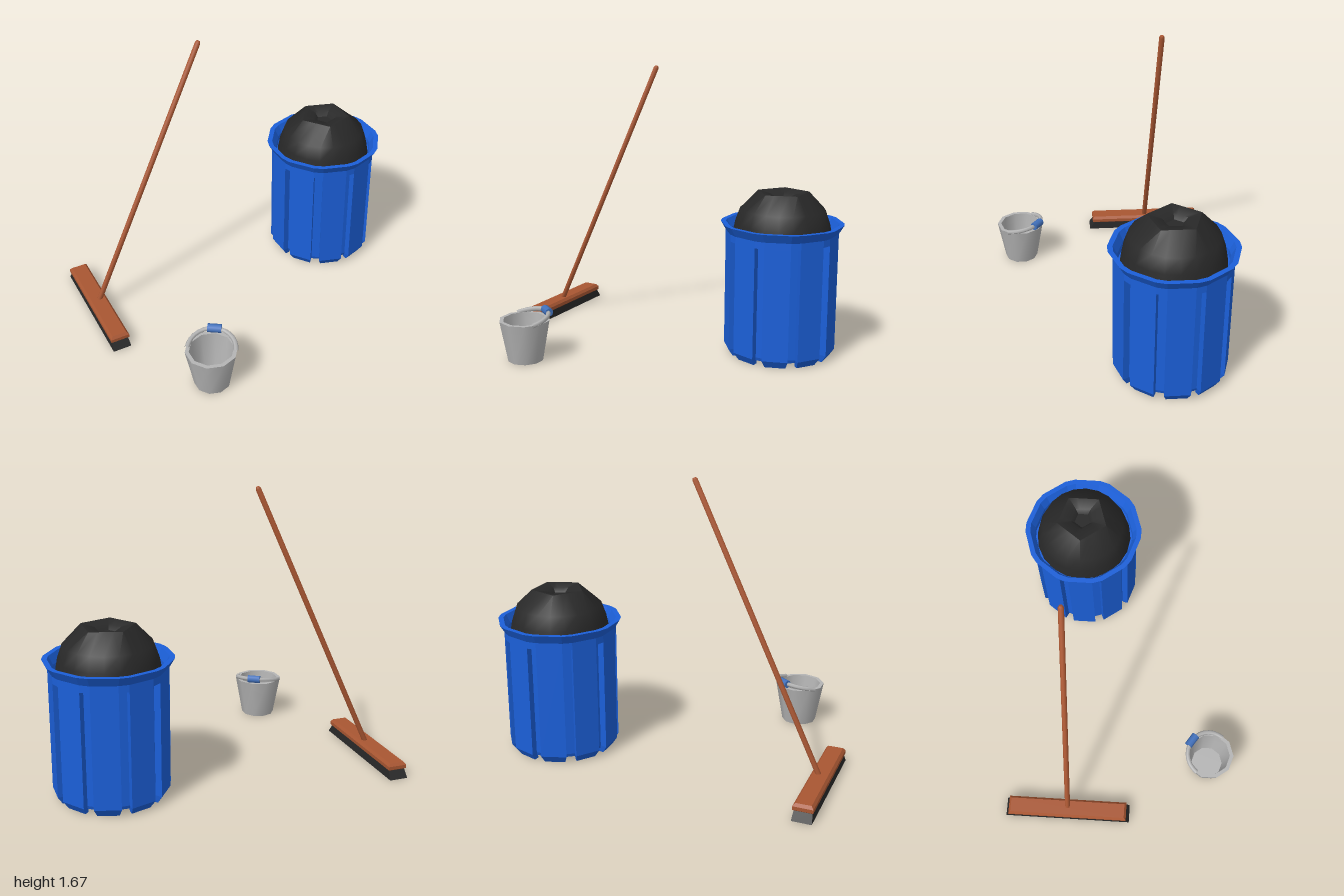
import * as THREE from 'three';
import { toCreasedNormals } from 'three/addons/utils/BufferGeometryUtils.js';

const mat = (name, color) => new THREE.MeshStandardMaterial({ name, color });

// Skin a stack of equal-length rings (counter-clockwise from above), with optional end caps.
function loft(rings, { bottom = false, top = false, crease = 0.1 } = {}) {
  const n = rings[0].length;
  const pos = rings.flat(2);
  const idx = [];
  for (let i = 0; i < rings.length - 1; i++) {
    for (let j = 0; j < n; j++) {
      const k = (j + 1) % n;
      const a = i * n + j, b = i * n + k, c = b + n, d = a + n;
      idx.push(a, b, c, a, c, d);
    }
  }
  const last = (rings.length - 1) * n;
  for (let j = 1; j < n - 1; j++) {
    if (bottom) idx.push(0, j + 1, j);
    if (top) idx.push(last, last + j, last + j + 1);
  }
  const g = new THREE.BufferGeometry();
  g.setAttribute('position', new THREE.Float32BufferAttribute(pos, 3));
  g.setIndex(idx);
  return toCreasedNormals(g, crease);
}

const polar = (r, y, a) => [r * Math.sin(a), y, r * Math.cos(a)];
const rect = (x, z, y) => [[-x, y, z], [x, y, z], [x, y, -z], [-x, y, -z]];
const deg = Math.PI / 180;

function addMesh(group, name, geometry, material) {
  const m = new THREE.Mesh(geometry, material);
  m.name = name;
  group.add(m);
  return m;
}

function makeBin(plastic, lidMat) {
  const bin = new THREE.Group();
  bin.name = 'bin';

  // Core with groove backs, collar, flared rim, inner wall and the ledge under the lid
  const angles = [];
  for (let i = 0; i < 10; i++) angles.push((i * 36 - 5) * deg, (i * 36 + 5) * deg);
  const profile = [[0.28, 0.025], [0.287, 0.045], [0.287, 0.7], [0.328, 0.7], [0.328, 0.74],
    [0.358, 0.79], [0.328, 0.79], [0.303, 0.74], [0.3, 0.71], [0.265, 0.71]];
  addMesh(bin, 'binBody', loft(profile.map(([r, y]) => angles.map(a => polar(r, y, a))), { bottom: true }), plastic);

  // Ten raised panels that end in chamfered feet
  const levels = [[0.297, 0.265, 0, 11.5], [0.328, 0.28, 0.045, 13], [0.328, 0.28, 0.7, 13]];
  const panel = loft(levels.map(([ro, ri, y, h]) => [
    polar(ro, y, -h * deg), polar(ro, y, h * deg), polar(ri, y, h * deg), polar(ri, y, -h * deg),
  ]), { bottom: true });
  for (let i = 0; i < 10; i++) {
    addMesh(bin, 'binPanel', panel, plastic).rotation.y = (18 + i * 36) * deg;
  }

  // Domed lid: round at the base, pentagonal at the top with a small hollow
  const polyRing = (R, y, n) => Array.from({ length: 20 }, (_, j) => {
    const step = 2 * Math.PI / n, t = (j * 18 * deg + 1e-6) % step;
    return polar(R * Math.cos(step / 2) / Math.cos(t - step / 2), y, j * 18 * deg - Math.PI / 2);
  });
  addMesh(bin, 'lid', loft([
    polyRing(0.292, 0.7, 20), polyRing(0.275, 0.79, 20), polyRing(0.247, 0.87, 20),
    polyRing(0.155, 0.967, 5), polyRing(0.075, 0.952, 5), polyRing(0.05, 0.927, 5),
  ], { top: true, crease: 0.8 }), lidMat);
  return bin;
}

function makeBroom(wood, bristleMat) {
  const broom = new THREE.Group();
  broom.name = 'broom';
  addMesh(broom, 'bristles', loft([rect(0.055, 0.39, 0), rect(0.05, 0.355, 0.052)], { bottom: true, top: true }), bristleMat);
  addMesh(broom, 'broomHead', loft([
    rect(0.05, 0.362, 0.048), rect(0.056, 0.37, 0.054), rect(0.056, 0.37, 0.074),
    rect(0.043, 0.357, 0.09),
  ], { bottom: true, top: true }), wood);

  // Leaning stick with a rounded tip
  const dir = new THREE.Vector3(0.742, 1.595, 0);
  const len = dir.length();
  const ring = (r, y) => Array.from({ length: 8 }, (_, j) => polar(r, y, j * 45 * deg));
  const stick = addMesh(broom, 'broomStick', loft([
    ring(0.016, 0), ring(0.016, len - 0.012), ring(0.009, len),
  ], { bottom: true, top: true, crease: 0.9 }), wood);
  stick.position.set(0.005, 0.07, 0);
  stick.quaternion.setFromUnitVectors(new THREE.Vector3(0, 1, 0), dir.normalize());
  return broom;
}

function makeBucket(metal, gripMat) {
  const bucket = new THREE.Group();
  bucket.name = 'bucket';
  const profile = [[0.105, 0], [0.15, 0.245], [0.127, 0.245], [0.098, 0.015]];
  addMesh(bucket, 'pail', loft(
    profile.map(([r, y]) => Array.from({ length: 10 }, (_, j) => polar(r, y, j * 36 * deg))),
    { bottom: true, top: true, crease: 0.7 }), metal);

  // Folded carrying handle: a half loop resting just above the rim
  const bail = new THREE.Group();
  bail.name = 'bail';
  bail.rotation.y = -34 * deg;
  const pts = [];
  for (let i = 0; i <= 8; i++) {
    const a = i * Math.PI / 8;
    pts.push(new THREE.Vector3(0.138 * Math.cos(a), 0.243 + 0.032 * Math.sin(a), -0.137 * Math.sin(a)));
  }
  addMesh(bail, 'bailWire', new THREE.TubeGeometry(new THREE.CatmullRomCurve3(pts), 14, 0.014, 6), metal);
  const grip = addMesh(bail, 'grip', new THREE.CylinderGeometry(0.025, 0.025, 0.08, 8), gripMat);
  grip.rotation.z = Math.PI / 2;
  grip.position.set(0, 0.275, -0.137);
  bucket.add(bail);
  return bucket;
}

export function createModel() {
  const blue = mat('bin blue', 0x1b5fd8);
  const black = mat('charcoal', 0x282828);
  const wood = mat('wood brown', 0xa85632);
  const metal = mat('galvanised grey', 0xb4b4b4);
  const gripBlue = mat('grip blue', 0x4272be);

  const model = new THREE.Group();
  model.name = 'cleaningSet';
  const bin = makeBin(blue, black);
  bin.position.set(0.647, 0, -0.305);
  const broom = makeBroom(wood, black);
  broom.position.set(-0.945, 0, -0.315);
  const bucket = makeBucket(metal, gripBlue);
  bucket.position.set(-0.587, 0, 0.555);
  model.add(bin, broom, bucket);
  return model;
}
